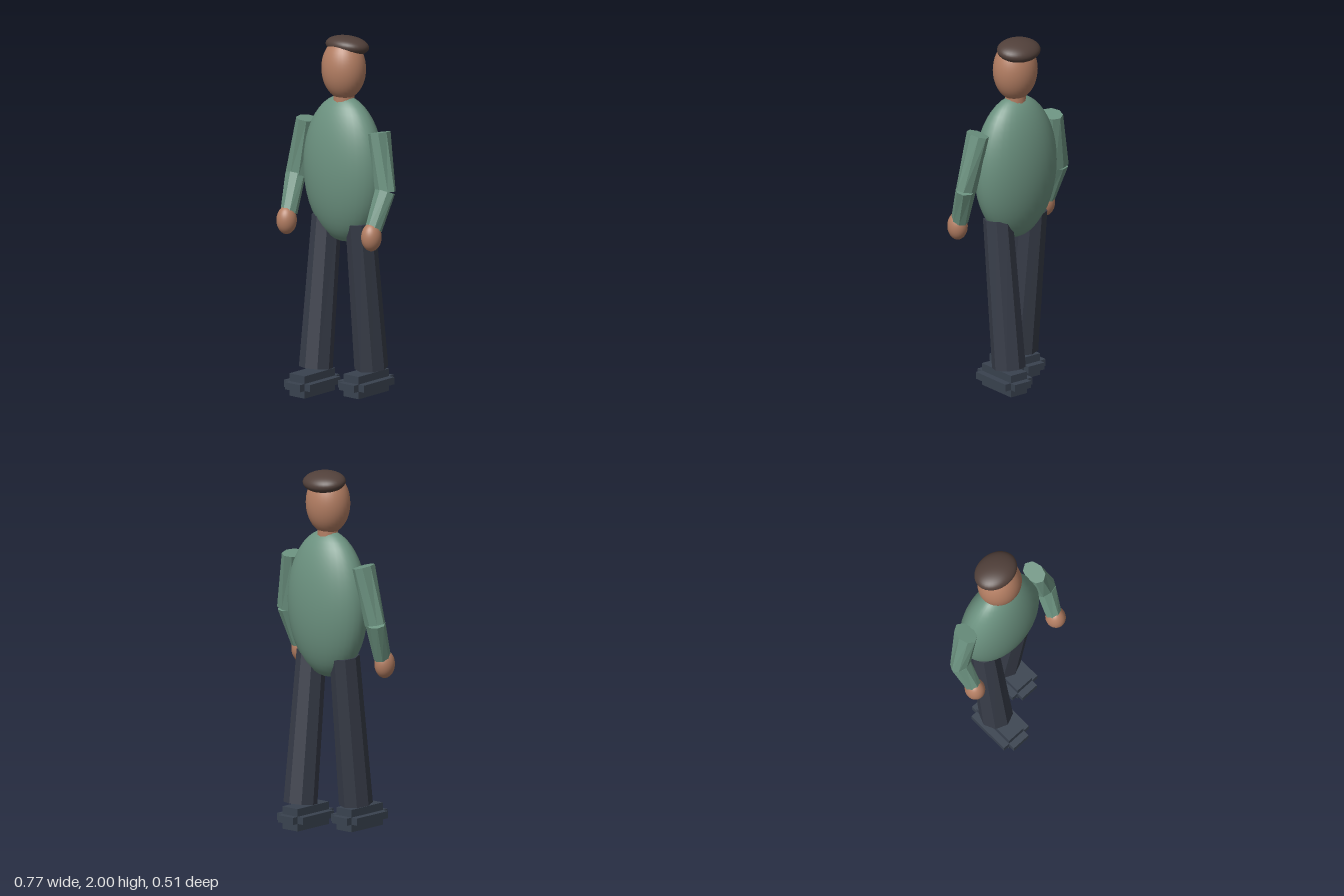
import * as THREE from 'three';

const flat = (name, color, flatShading) => {
  const m = new THREE.MeshStandardMaterial({ color });
  m.name = name;
  m.flatShading = flatShading;
  return m;
};

export function createModel() {
  const sweater = flat('sweater green', 0x6c9280, true);
  const skin = flat('skin', 0xb27d62, false);
  const hairBrown = flat('hair brown', 0x51403a, false);
  const trousers = flat('trousers', 0x373c48, true);
  const shoeGrey = flat('shoe grey', 0x39424f, true);

  const model = new THREE.Group();
  model.name = 'walkingMan';

  const add = (name, geometry, material) => {
    const mesh = new THREE.Mesh(geometry, material);
    mesh.name = name;
    model.add(mesh);
    return mesh;
  };

  const ellipsoid = (name, material, centre, radii) => {
    const g = new THREE.SphereGeometry(1, 32, 24).scale(...radii);
    const mesh = add(name, g, material);
    mesh.position.set(...centre);
    return mesh;
  };

  // Eight-sided limb between two points with an oval section [x, z] at each end
  const limb = (name, material, top, bottom, topOval, bottomOval) => {
    const a = new THREE.Vector3(...top), b = new THREE.Vector3(...bottom);
    const length = a.distanceTo(b);
    const g = new THREE.CylinderGeometry(1, 1, length, 8);
    const p = g.attributes.position;
    for (let i = 0; i < p.count; i++) {
      const oval = p.getY(i) > 0 ? topOval : bottomOval;
      p.setX(i, p.getX(i) * oval[0]);
      p.setZ(i, p.getZ(i) * oval[1]);
    }
    g.computeVertexNormals();
    const mesh = add(name, g, material);
    mesh.position.copy(a).add(b).multiplyScalar(0.5);
    mesh.quaternion.setFromUnitVectors(new THREE.Vector3(0, 1, 0), a.sub(b).normalize());
  };

  // Torso, neck, head and hair
  const torso = ellipsoid('torso', sweater, [0, 1.26, -0.04], [0.26, 0.41, 0.155]);
  torso.material = flat('sweater green smooth', 0x6c9280, false);
  const neck = add('neck', new THREE.CylinderGeometry(0.055, 0.06, 0.1, 12), skin);
  neck.position.set(0, 1.67, -0.04);
  ellipsoid('head', skin, [0, 1.82, -0.038], [0.127, 0.172, 0.116]);
  const hair = ellipsoid('hair', hairBrown, [0, 1.943, -0.069], [0.128, 0.055, 0.105]);
  hair.rotation.x = -0.17;

  for (const [side, s] of [['left', 1], ['right', -1]]) {
    // Arm, bent forward at the elbow
    limb(side + 'UpperArm', sweater, [s * 0.257, 1.5, -0.035], [s * 0.32, 1.18, -0.012],
      [0.052, 0.074], [0.065, 0.047]);
    limb(side + 'Forearm', sweater, [s * 0.32, 1.185, -0.01], [s * 0.302, 0.98, 0.068],
      [0.062, 0.049], [0.045, 0.05]);
    ellipsoid(side + 'Hand', skin, [s * 0.303, 0.942, 0.086], [0.055, 0.078, 0.058]);

    // Leg in mid-stride: the left one is back, the right one forward
    const ankle = s > 0 ? -0.132 : 0.058;
    limb(side + 'Leg', trousers, [s * 0.12, 0.98, -0.037], [s * 0.118, 0.14, ankle],
      [0.08, 0.085], [0.093, 0.093]);

    // Stepped shoe made of three crossing blocks
    for (const [part, w, h, l] of [
      ['ShoeBody', 0.11, 0.125, 0.257],
      ['ShoeWelt', 0.188, 0.04, 0.257],
      ['ShoeToeAndHeel', 0.11, 0.04, 0.333],
    ]) {
      const block = add(side + part, new THREE.BoxGeometry(w, h, l), shoeGrey);
      block.position.set(s * 0.117, 0.0635, s * -0.09);
    }
  }

  // Stand the soles exactly on the ground
  model.children.forEach((m) => { m.position.y -= 0.001; });
  return model;
}
